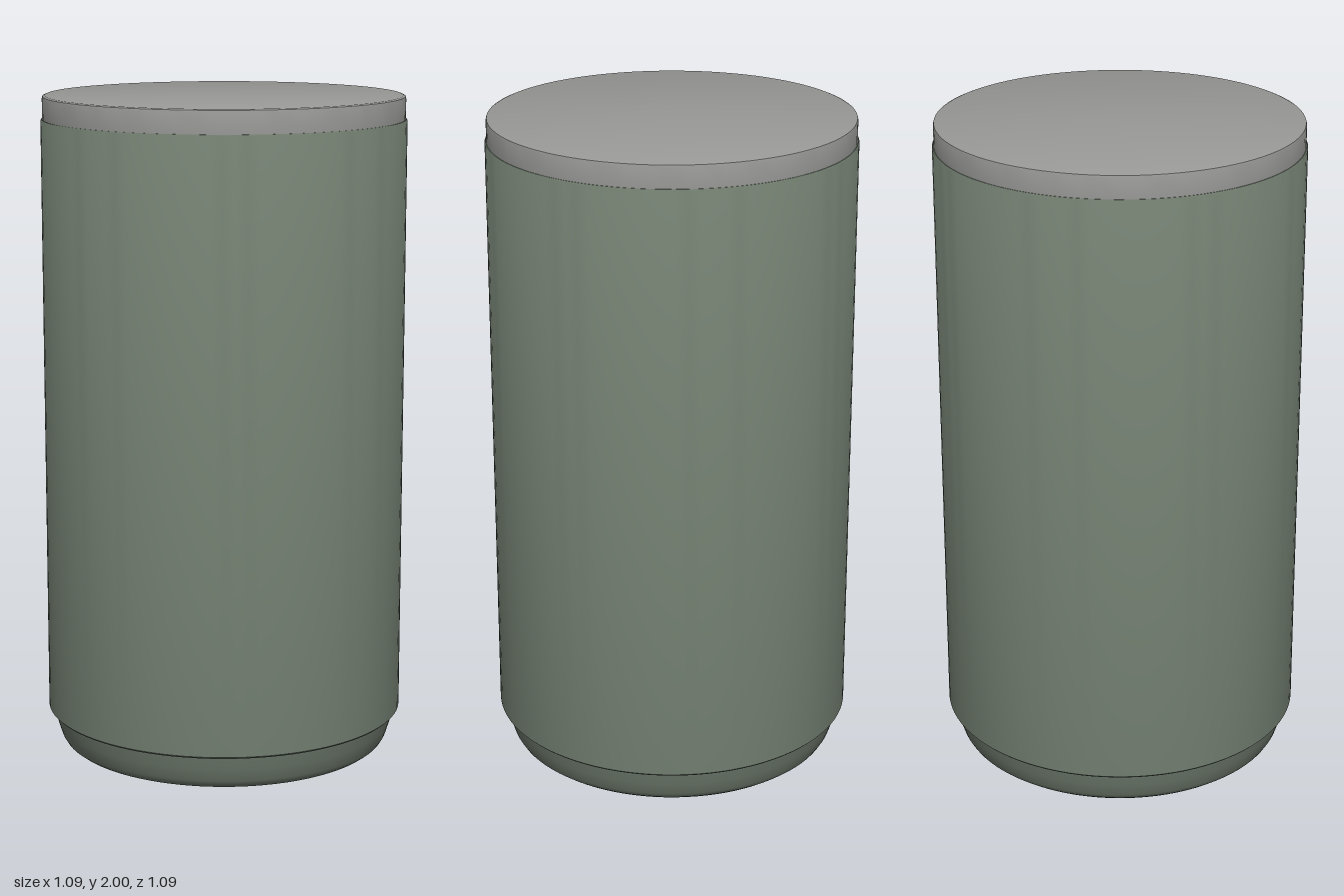
import * as THREE from 'three';
import { toCreasedNormals } from 'three/addons/utils/BufferGeometryUtils.js';

const SEGMENTS = 96;

// Turned part from [radius, height] pairs, running bottom to top
function turned(name, profile, material) {
  const points = profile.map(([r, y]) => new THREE.Vector2(r, y));
  const geometry = toCreasedNormals(new THREE.LatheGeometry(points, SEGMENTS), 0.6);
  const mesh = new THREE.Mesh(geometry, material);
  mesh.name = name;
  return mesh;
}

export function createModel() {
  const green = new THREE.MeshStandardMaterial({ color: 0x717d6f });
  green.name = 'sage green';
  const grey = new THREE.MeshStandardMaterial({ color: 0x989996 });
  grey.name = 'lid grey';

  const group = new THREE.Group();
  group.name = 'canister';

  // Tapered foot with a rounded lower edge
  group.add(turned('base', [
    [0, 0], [0.465, 0], [0.485, 0.005], [0.498, 0.015],
    [0.507, 0.03], [0.52, 0.07], [0.53, 0.112],
  ], green));

  // Straight wall, stepping out slightly over the foot
  group.add(turned('body', [
    [0.525, 0.112], [0.54, 0.112], [0.546, 0.118], [0.546, 1.925], [0.543, 1.93], [0.53, 1.93],
  ], green));

  // Flat lid with a softened rim
  group.add(turned('lid', [
    [0.525, 1.928], [0.541, 1.93], [0.541, 1.99], [0.539, 1.997], [0.532, 2], [0, 2],
  ], grey));

  return group;
}
